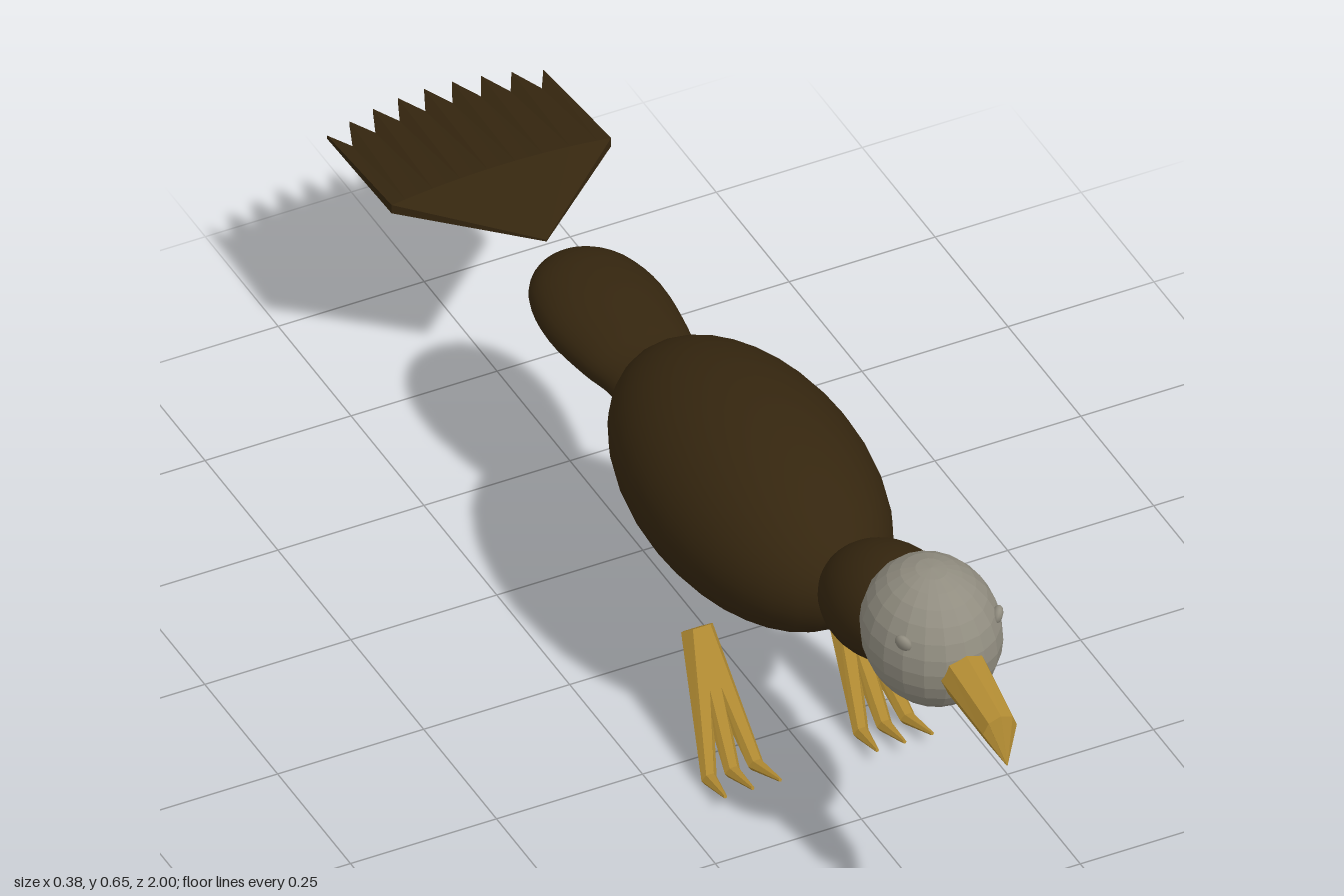
import * as THREE from 'three';

const plumage = new THREE.MeshStandardMaterial({ color: 0x35260f, side: THREE.DoubleSide });
plumage.name = 'dark brown plumage';
const headGrey = new THREE.MeshStandardMaterial({ color: 0x918d80 });
headGrey.name = 'pale grey head';
const horn = new THREE.MeshStandardMaterial({ color: 0xb08a32 });
horn.name = 'ochre horn';

function add(parent, name, geometry, material) {
  const mesh = new THREE.Mesh(geometry, material);
  mesh.name = name;
  parent.add(mesh);
  return mesh;
}

function faceted(geometry) {
  const g = geometry.index ? geometry.toNonIndexed() : geometry;
  g.computeVertexNormals();
  return g;
}

function fromTriangles(tris) {
  const g = new THREE.BufferGeometry().setFromPoints(tris);
  return faceted(g);
}

function ellipsoid(rx, ry, rz, w = 32, h = 24) {
  return new THREE.SphereGeometry(1, w, h).scale(rx, ry, rz);
}

// Ring of points round a centre, facing along +z tilted up by angle
function ring(x, y, z, r, angle, sides) {
  return Array.from({ length: sides }, (_, j) => {
    const a = (j / sides) * Math.PI * 2;
    const v = r * Math.sin(a);
    return new THREE.Vector3(x + r * Math.cos(a), y + v * Math.cos(angle), z - v * Math.sin(angle));
  });
}

// Faceted skin over successive rings, with both ends closed
function loft(rings) {
  const tris = [], n = rings[0].length;
  for (let i = 0; i < rings.length - 1; i++) {
    for (let j = 0; j < n; j++) {
      const k = (j + 1) % n, a = rings[i], b = rings[i + 1];
      tris.push(a[j], a[k], b[k], a[j], b[k], b[j]);
    }
  }
  const first = rings[0], last = rings[rings.length - 1];
  for (let j = 1; j < n - 1; j++) {
    tris.push(first[0], first[j + 1], first[j], last[0], last[j], last[j + 1]);
  }
  return fromTriangles(tris);
}

// Fan of nine pointed feathers: smooth above, ridged below
function tailFan() {
  const tris = [], N = 16;
  const sheet = (drop) => {
    const mid = [], end = [];
    for (let i = 0; i <= N; i++) {
      const t = (i / N) * 2 - 1, tip = i % 2 === 0;
      const ridge = drop * (tip ? 1 : 0.35);
      mid.push(new THREE.Vector3(0.188 * t, 0.415 - 0.013 * t * t - ridge, -0.735));
      end.push(new THREE.Vector3(0.185 * t, 0.378 - ridge * 0.4, -(tip ? 1 : 0.95) + 0.038 * t * t));
    }
    return { apex: new THREE.Vector3(0, 0.377 - drop * 0.2, -0.58), mid, end };
  };
  const top = sheet(0), low = sheet(0.016);
  const quad = (a, b, c, d) => tris.push(a, b, c, a, c, d);
  for (let i = 0; i < N; i++) {
    tris.push(top.apex, top.mid[i + 1], top.mid[i]);
    quad(top.mid[i], top.mid[i + 1], top.end[i + 1], top.end[i]);
    tris.push(low.apex, low.mid[i], low.mid[i + 1]);
    quad(low.mid[i + 1], low.mid[i], low.end[i], low.end[i + 1]);
    quad(top.end[i], top.end[i + 1], low.end[i + 1], low.end[i]);
  }
  for (const i of [0, N]) {
    quad(top.apex, top.mid[i], low.mid[i], low.apex);
    quad(top.mid[i], top.end[i], low.end[i], low.mid[i]);
  }
  return fromTriangles(tris);
}

export function createModel() {
  const bird = new THREE.Group();
  bird.name = 'bird';

  // Body and neck
  add(bird, 'body', ellipsoid(0.182, 0.165, 0.33), plumage).position.set(0, 0.391, 0.12);
  const neck = add(bird, 'neck', ellipsoid(0.096, 0.093, 0.15), plumage);
  neck.position.set(0, 0.49, 0.59);
  neck.rotation.x = -0.35;

  // Flattened rump with a narrow waist
  const outline = new THREE.SplineCurve([
    [0.085, 0.12], [0.08, 0.21], [0.093, 0.28], [0.103, 0.38], [0.088, 0.465], [0.05, 0.516], [0, 0.53],
  ].map(([r, d]) => new THREE.Vector2(r, d))).getPoints(24);
  outline[outline.length - 1].x = 0;
  const rump = new THREE.LatheGeometry(outline, 32).rotateX(-Math.PI / 2).scale(1, 0.58, 1);
  add(bird, 'rump', rump, plumage).position.y = 0.375;

  add(bird, 'tailFan', tailFan(), plumage);

  // Head and eyes
  add(bird, 'head', faceted(ellipsoid(0.107, 0.119, 0.125, 20, 14)), headGrey).position.set(0, 0.54, 0.74);
  for (const s of [-1, 1]) {
    const eye = add(bird, s > 0 ? 'leftEye' : 'rightEye', ellipsoid(0.009, 0.016, 0.015, 12, 8), headGrey);
    eye.position.set(s * 0.08, 0.585, 0.805);
    eye.rotation.set(0, -s * 0.5, -s * 0.3);
  }

  // Hooked beak
  add(bird, 'beak', loft([
    ring(0, 0.536, 0.835, 0.042, 0, 8),
    ring(0, 0.508, 0.975, 0.029, -0.15, 8),
    ring(0, 0.456, 1.0, 0.001, -0.6, 8),
  ]), horn);

  // Legs: three tapering strands, each ending in a pointed toe
  for (const s of [-1, 1]) {
    const leg = new THREE.Group();
    leg.name = s > 0 ? 'leftLeg' : 'rightLeg';
    bird.add(leg);
    for (const k of [-1, 0, 1]) {
      const x = s * (0.13 + 0.04 * k);
      add(leg, 'toeStrand', loft([
        ring(s * (0.12 + 0.003 * k), 0.192, 0.176, 0.024, -0.9, 6),
        ring(x, 0.015, 0.318, 0.013, -0.3, 6),
        ring(x + s * 0.007 * k, 0.031, 0.388, 0.003, 0.3, 6),
      ]), horn);
    }
  }
  return bird;
}
